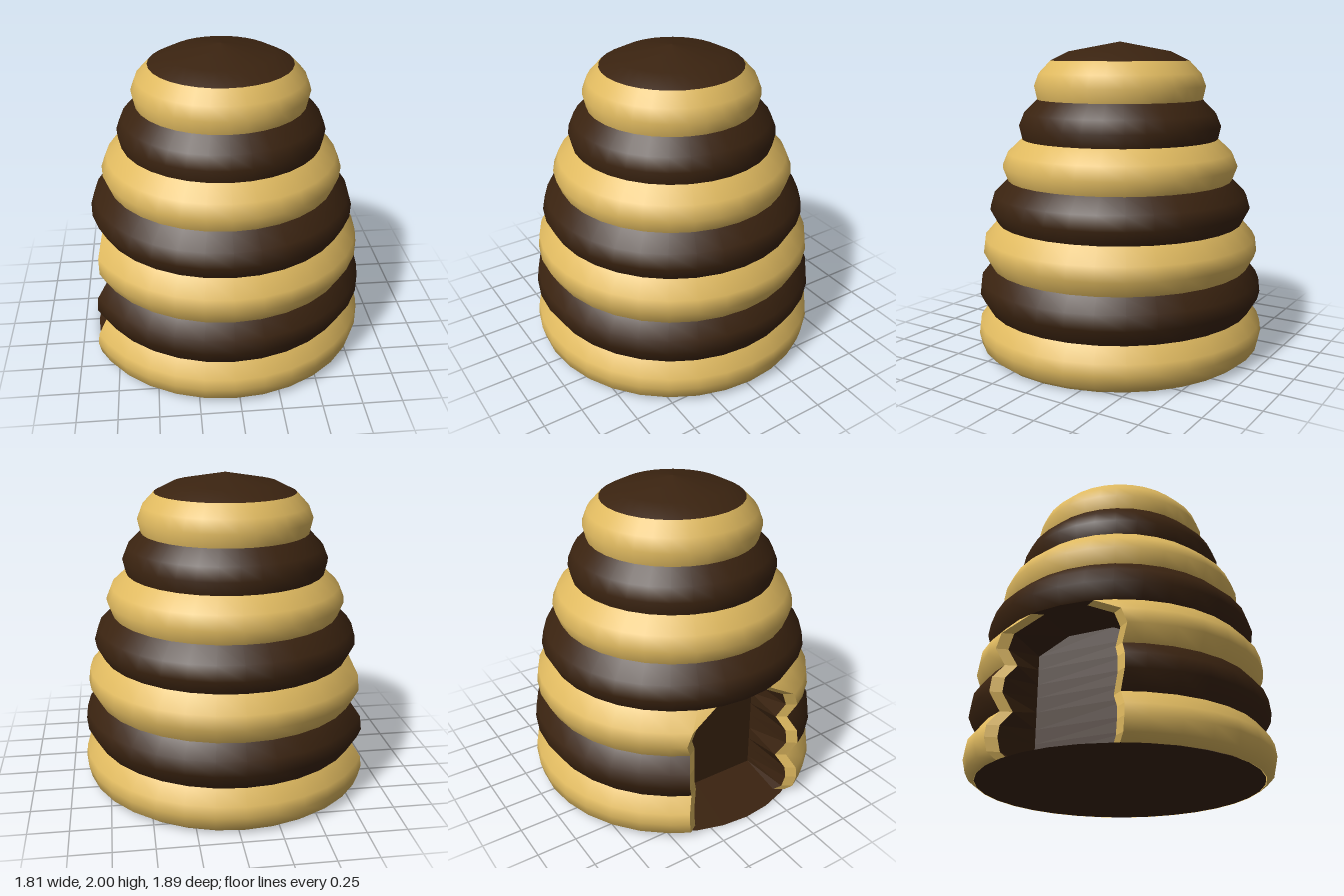
import * as THREE from 'three';

const SEGMENTS = 32;
const AXIS_X = -0.037; // hive axis, so the cut-away side still centres the model

// Ring profiles from bottom to top: [radius, height, half width of the doorway]
const RINGS = [
  [[0.875, 0, 0.37], [0.925, 0.04, 0.405], [0.944, 0.12, 0.418], [0.935, 0.19, 0.415], [0.868, 0.278, 0.37]],
  [[0.868, 0.278, 0.37], [0.931, 0.385, 0.415], [0.92, 0.476, 0.41], [0.85, 0.563, 0.37]],
  [[0.85, 0.563, 0.37], [0.902, 0.66, 0.415], [0.89, 0.75, 0.38], [0.804, 0.848, 0.2]],
  [[0.804, 0.848], [0.852, 0.94], [0.825, 1.03], [0.733, 1.12]],
  [[0.733, 1.12], [0.767, 1.21], [0.731, 1.296], [0.637, 1.383]],
  [[0.637, 1.383], [0.656, 1.466], [0.622, 1.548], [0.536, 1.635]],
  [[0.536, 1.635], [0.555, 1.72], [0.524, 1.8], [0.448, 1.88]],
  [[0.448, 1.88], [0.33, 1.938], [0, 2]],
];

export function createModel() {
  const hive = new THREE.Group();
  hive.name = 'beehive';
  const honey = new THREE.MeshStandardMaterial({ color: 0xe0ba60, side: THREE.DoubleSide });
  honey.name = 'honey yellow';
  const brown = new THREE.MeshStandardMaterial({ color: 0x3a2310, side: THREE.DoubleSide });
  brown.name = 'dark brown';

  const add = (name, geometry, material) => {
    const mesh = new THREE.Mesh(geometry, material);
    mesh.name = name;
    mesh.position.x = AXIS_X;
    hive.add(mesh);
    return mesh;
  };

  // Stacked bulging rings; the lower ones stop at the doorway on the -x side
  RINGS.forEach((profile, i) => {
    const points = profile.map(([r, y]) => new THREE.Vector2(r, y));
    const geometry = new THREE.LatheGeometry(points, SEGMENTS, -Math.PI / 2);
    if (profile[0].length === 3) {
      const pos = geometry.attributes.position;
      for (let s = 0; s <= SEGMENTS; s++) {
        profile.forEach(([r, y, halfWidth], j) => {
          const gap = Math.asin(halfWidth / r);
          const turn = THREE.MathUtils.clamp((s / SEGMENTS) * Math.PI * 2, gap, Math.PI * 2 - gap);
          pos.setXYZ(s * profile.length + j, -r * Math.cos(turn), y, r * Math.sin(turn));
        });
      }
      geometry.computeVertexNormals();
    }
    const name = i === RINGS.length - 1 ? 'cap' : `ring${i + 1}`;
    add(name, geometry, i % 2 ? brown : honey);
  });

  // Doorway lining: light rim, side walls and back wall, swept up the ring rows
  const rows = RINGS.slice(0, 3).flatMap((profile, i) => (i ? profile.slice(1) : profile));
  const sections = rows.map(([r, y, w]) => {
    const outer = [-Math.sqrt(r * r - w * w), w];
    const inner = [outer[0] + 0.04, w - 0.06];
    const back = [-0.42, y > 0.8 ? 0.15 : 0.355];
    const half = [outer, inner, back];
    const mirrored = half.map(([x, z]) => [x, -z]).reverse();
    return [...half, ...mirrored].map(([x, z]) => [x, y, z]);
  });
  const lining = (columns) => {
    const positions = [];
    for (let j = 0; j < sections.length - 1; j++) {
      for (const c of columns) {
        const [a, b] = [sections[j][c], sections[j][c + 1]];
        const [d, e] = [sections[j + 1][c], sections[j + 1][c + 1]];
        positions.push(...a, ...d, ...b, ...b, ...d, ...e);
      }
    }
    const geometry = new THREE.BufferGeometry();
    geometry.setAttribute('position', new THREE.Float32BufferAttribute(positions, 3));
    geometry.computeVertexNormals();
    return geometry;
  };
  add('doorwayRim', lining([0, 4]), honey);
  add('doorwayWalls', lining([1, 2, 3]), brown);

  // Floor of the hive and ceiling of the doorway
  const disc = (name, radius, y) => {
    const geometry = new THREE.CircleGeometry(radius, SEGMENTS).rotateX(Math.PI / 2);
    add(name, geometry, brown).position.y = y;
  };
  disc('floor', 0.87, 0);
  disc('doorwayCeiling', 0.804, 0.848);

  return hive;
}
